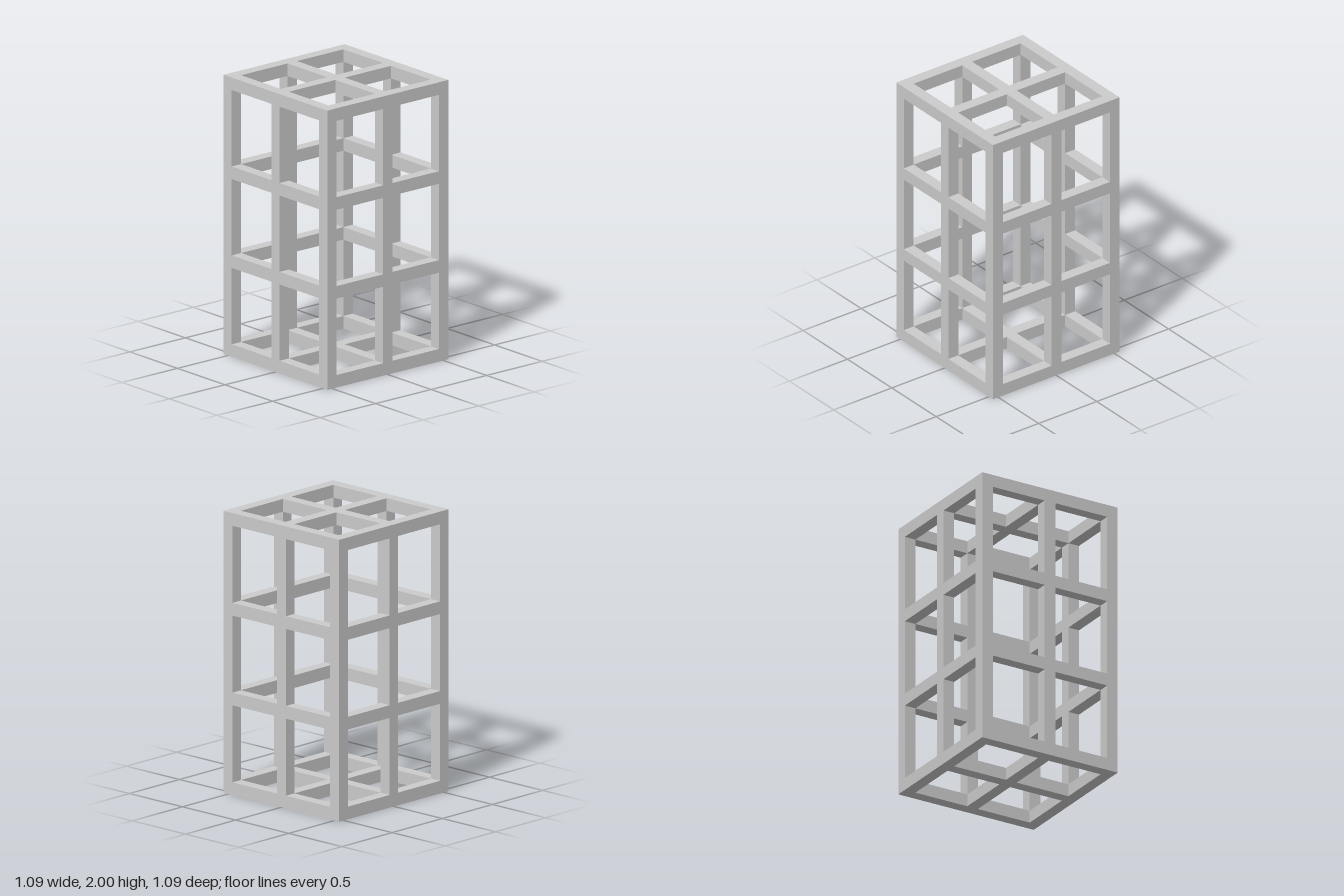
import * as THREE from 'three';

const HALF = 0.545;          // half the outer width and depth
const BAR = 0.085;           // bar thickness in plan
const BEAM = 0.09;           // beam height
const HEIGHT = 2;
const EDGE = HALF - BAR / 2; // centre line of the outer bars
const SPAN = EDGE - BAR;     // clear gap between neighbouring posts
const LEVELS = 4;

export function createModel() {
  const model = new THREE.Group();
  model.name = 'latticeTower';
  const material = new THREE.MeshStandardMaterial({ color: 0xcccccc, flatShading: true });

  const addBar = (name, size, position, parent) => {
    const mesh = new THREE.Mesh(new THREE.BoxGeometry(...size), material);
    mesh.name = name;
    mesh.position.set(...position);
    parent.add(mesh);
  };

  // Full-height posts: four corners and the middle of each side
  const posts = new THREE.Group();
  posts.name = 'posts';
  for (const i of [-1, 0, 1]) {
    for (const k of [-1, 0, 1]) {
      if (i === 0 && k === 0) continue; // the core stays hollow
      const name = i && k ? 'cornerPost' : 'middlePost';
      addBar(name, [BAR, HEIGHT, BAR], [i * EDGE, HEIGHT / 2, k * EDGE], posts);
    }
  }
  model.add(posts);

  // Beams fill the gaps between posts at each level
  for (let n = 0; n < LEVELS; n++) {
    const y = BEAM / 2 + (n * (HEIGHT - BEAM)) / (LEVELS - 1);
    const ring = new THREE.Group();
    ring.name = 'beamRing';
    for (const side of [-1, 1]) {
      for (const half of [-1, 1]) {
        const along = (half * EDGE) / 2;
        addBar('crosswiseBeam', [SPAN, BEAM, BAR], [along, y, side * EDGE], ring);
        addBar('lengthwiseBeam', [BAR, BEAM, SPAN], [side * EDGE, y, along], ring);
      }
    }

    // Top and bottom are also braced by a cross
    if (n === 0 || n === LEVELS - 1) {
      addBar('crossBrace', [2 * EDGE - BAR, BEAM, BAR], [0, y, 0], ring);
      for (const half of [-1, 1]) {
        addBar('crossBraceArm', [BAR, BEAM, SPAN], [0, y, (half * EDGE) / 2], ring);
      }
    }
    model.add(ring);
  }
  return model;
}
